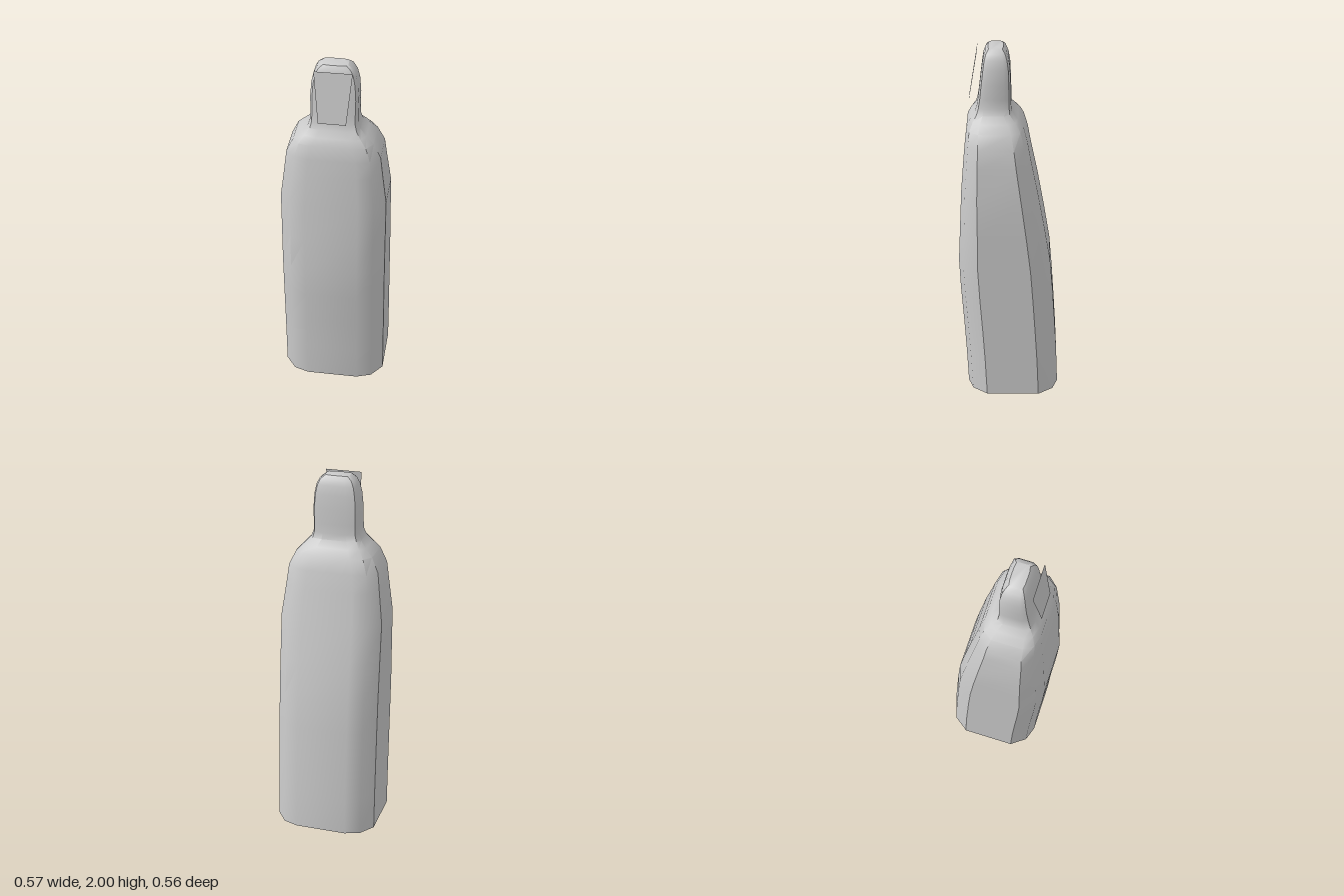
import * as THREE from 'three';
import { toCreasedNormals } from 'three/addons/utils/BufferGeometryUtils.js';

// Stations up the body: height, half width, front z, back z, corner fullness
const STATIONS = [
  [0, 0.285, 0.235, -0.277, 0.79],
  [0.22, 0.285, 0.245, -0.268, 0.79],
  [0.42, 0.285, 0.257, -0.255, 0.79],
  [0.62, 0.285, 0.271, -0.241, 0.79],
  [0.8, 0.285, 0.279, -0.225, 0.79],
  [1.0, 0.285, 0.27, -0.192, 0.79],
  [1.22, 0.285, 0.26, -0.152, 0.79],
  [1.4, 0.262, 0.246, -0.115, 0.79],
  [1.5, 0.25, 0.237, -0.097, 0.8],
  [1.58, 0.212, 0.228, -0.075, 0.83],
  [1.62, 0.172, 0.208, -0.045, 0.85],
  [1.655, 0.139, 0.184, -0.013, 0.88],
  [1.69, 0.126, 0.173, -0.008, 0.9],
  [1.74, 0.125, 0.165, -0.008, 0.9],
  [1.82, 0.126, 0.156, -0.006, 0.9],
  [1.9, 0.12, 0.146, -0.002, 0.9],
  [1.95, 0.109, 0.138, 0.006, 0.9],
  [1.98, 0.094, 0.128, 0.017, 0.9],
  [2.0, 0.067, 0.113, 0.033, 0.9],
];

// Twelve-sided rounded rectangle in the ground plane
function section([y, w, front, back, corner]) {
  const mid = (front + back) / 2, h = (front - back) / 2;
  const quarter = [[1, 0.57], [corner, 0.89], [0.5, 1]];
  const flipped = [...quarter].reverse();
  const outline = [
    ...quarter,
    ...flipped.map(([x, z]) => [-x, z]),
    ...quarter.map(([x, z]) => [-x, -z]),
    ...flipped.map(([x, z]) => [x, -z]),
  ];
  return outline.map(([x, z]) => [x * w, y, mid + z * h]);
}

// Skin the sections and close both ends
function loft(stations) {
  const rings = stations.map(section), n = rings[0].length, last = rings.length - 1;
  const positions = rings.flat(2), index = [];
  for (let i = 0; i < last; i++) {
    for (let j = 0; j < n; j++) {
      const a = i * n + j, b = i * n + (j + 1) % n;
      index.push(a, a + n, b, b, a + n, b + n);
    }
  }
  for (let j = 1; j < n - 1; j++) {
    index.push(0, j, j + 1);
    index.push(last * n, last * n + j + 1, last * n + j);
  }
  const geometry = new THREE.BufferGeometry();
  geometry.setAttribute('position', new THREE.Float32BufferAttribute(positions, 3));
  geometry.setIndex(index);
  return toCreasedNormals(geometry, THREE.MathUtils.degToRad(36));
}

export function createModel() {
  const group = new THREE.Group();

  // Tapered body with shoulders and head
  const body = new THREE.Mesh(loft(STATIONS), new THREE.MeshStandardMaterial({ color: 0xcccccc }));
  body.name = 'body';
  group.add(body);

  // Thin tapered plate tilted in front of the head
  const plateGeometry = new THREE.PlaneGeometry(2, 1);
  const p = plateGeometry.attributes.position;
  for (let i = 0; i < p.count; i++) {
    const top = p.getY(i) > 0;
    p.setXYZ(i, p.getX(i) * (top ? 0.1 : 0.073), top ? 1.99 : 1.713, top ? 0.17 : 0.215);
  }
  plateGeometry.computeVertexNormals();
  const plate = new THREE.Mesh(
    plateGeometry,
    new THREE.MeshStandardMaterial({ color: 0xcccccc, side: THREE.DoubleSide })
  );
  plate.name = 'facePlate';
  group.add(plate);

  return group;
}
